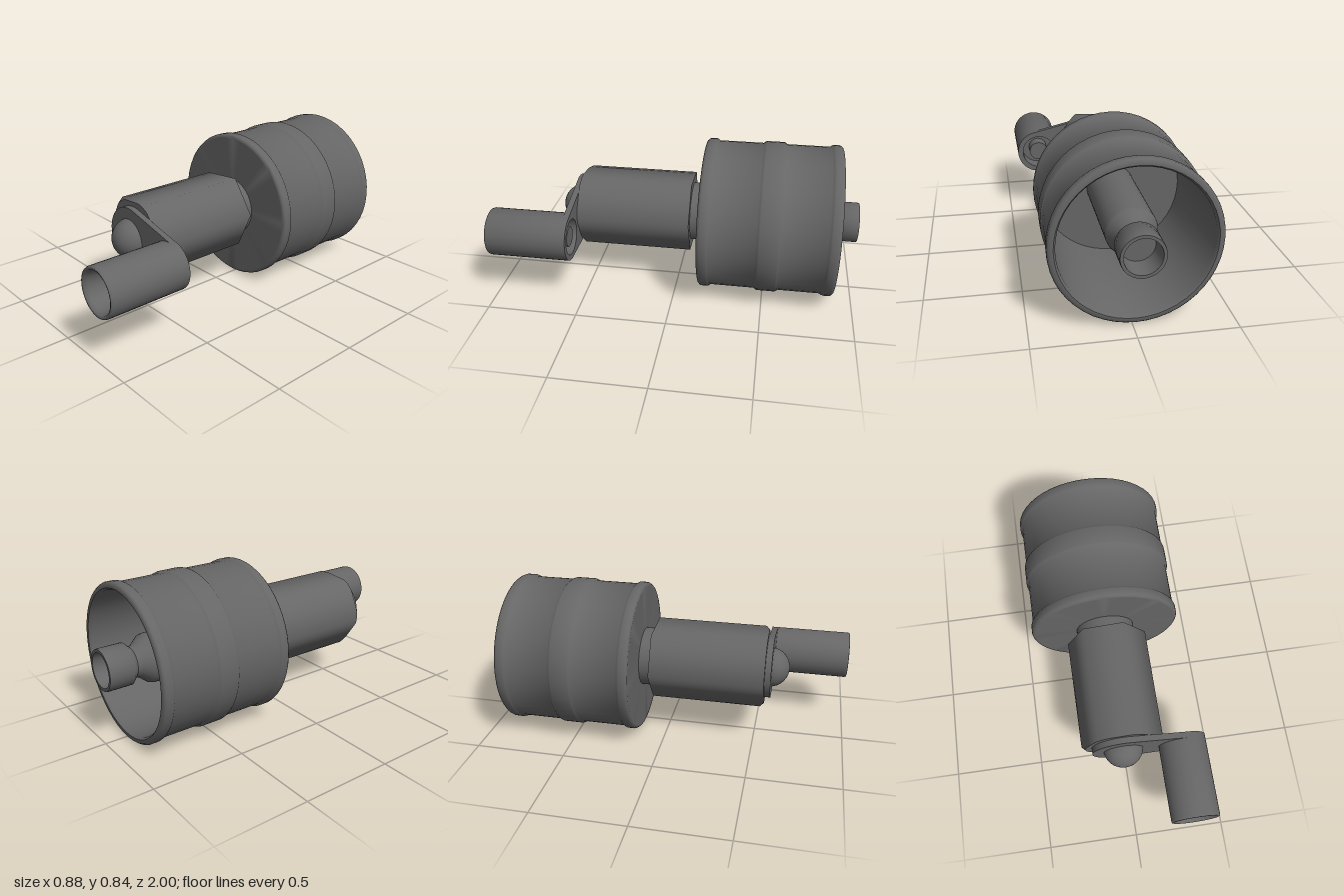
import * as THREE from 'three';
import { toCreasedNormals } from 'three/addons/utils/BufferGeometryUtils.js';

const AXIS = [-0.02, 0.424];   // main axis (x, y), running along z
const GRIP = [0.308, 0.386];   // axis of the crank grip
const HEX_R = 0.225, HEX_TURN = THREE.MathUtils.degToRad(5);

export function createModel() {
  const group = new THREE.Group();
  const material = new THREE.MeshStandardMaterial({ color: 0x666666 });

  const add = (name, geometry, [x, y] = AXIS) => {
    const mesh = new THREE.Mesh(geometry, material);
    mesh.name = name;
    mesh.position.set(x, y, 0);
    group.add(mesh);
  };

  // Turned part: profile of [radius, z], outside running from back to front
  const turned = (profile, sides = 40) => {
    const g = new THREE.LatheGeometry(profile.map(([r, z]) => new THREE.Vector2(r, z)), sides);
    return toCreasedNormals(g.rotateX(Math.PI / 2), 0.95);
  };

  // Raised band with softened edges
  const band = (z0, z1, low, high) => [
    [low, z0], [high - 0.003, z0 + 0.009], [high, z0 + 0.017],
    [high, z1 - 0.017], [high - 0.003, z1 - 0.009], [low, z1],
  ];

  // Drum, open at the back, with three raised bands
  add('drum', turned([
    [0, -0.19], [0.38, -0.19], [0.38, -0.87], [0.39, -0.885],
    ...band(-0.885, -0.82, 0.41, 0.421),
    ...band(-0.585, -0.455, 0.41, 0.421),
    ...band(-0.21, -0.145, 0.41, 0.421),
    [0.4, -0.145], [0, -0.145],
  ], 48));

  // Inner shaft with a waist and a hollow tip
  add('shaft', turned([
    [0, -0.88], [0.085, -0.88], [0.092, -1], [0.108, -1], [0.11, -0.99],
    [0.11, -0.865], [0.08, -0.835], [0.085, -0.81], [0.125, -0.76], [0.13, -0.74], [0.13, -0.17],
  ]));

  // Collar between drum and hexagonal body
  add('collar', turned([[0.163, -0.16], [0.163, -0.06]]));

  add('hexBody', hexBody(-0.08, 0.55));

  // Crank arm: two round ends joined by tangents
  const dx = GRIP[0] - AXIS[0], dy = GRIP[1] - AXIS[1];
  const big = 0.17, small = 0.13;
  const lean = Math.atan2(dy, dx), spread = Math.acos((big - small) / Math.hypot(dx, dy));
  const plate = new THREE.Shape();
  plate.absarc(0, 0, big, lean + spread, lean - spread + Math.PI * 2, false);
  plate.absarc(dx, dy, small, lean - spread, lean + spread, false);
  plate.closePath();
  const hole = new THREE.Path();
  hole.absarc(dx, dy, 0.1, 0, Math.PI * 2, true);
  plate.holes.push(hole);
  const arm = new THREE.ExtrudeGeometry(plate, { depth: 0.033, bevelEnabled: false, curveSegments: 32 });
  add('crankArm', toCreasedNormals(arm.translate(0, 0, 0.55), 0.6));

  // Domed pivot on the arm
  add('pivotDome', new THREE.SphereGeometry(0.11, 32, 20).translate(0, 0, 0.566));

  // Grip: tube with a funnel in front and a pin in the recess behind
  add('grip', turned([
    [0, 0.56], [0.056, 0.56], [0.056, 0.65], [0.1, 0.65], [0.1, 0.55], [0.131, 0.55],
    [0.131, 0.99], [0.128, 0.998], [0.122, 1], [0.113, 0.996], [0.106, 0.975],
    [0.1, 0.93], [0.09, 0.82], [0.056, 0.7], [0, 0.7],
  ]), GRIP);

  return group;
}

// Hexagonal bar with softly shaded sides, front corners trimmed by a cone
function hexBody(back, front) {
  const steps = 72, pos = [], index = [];
  const sector = Math.PI / 3, trim = 0.205;
  for (let i = 0; i < steps; i++) {
    const a = (i / steps) * Math.PI * 2;
    const r = HEX_R * Math.cos(sector / 2) / Math.cos((a % sector) - sector / 2);
    const c = Math.cos(a + HEX_TURN), s = Math.sin(a + HEX_TURN);
    const rf = Math.min(r, trim);
    pos.push(c * r, s * r, back, c * r, s * r, front - (r - rf), c * rf, s * rf, front);
  }
  const backMid = steps * 3, frontMid = backMid + 1;
  pos.push(0, 0, back, 0, 0, front);
  for (let i = 0; i < steps; i++) {
    const p = i * 3, q = ((i + 1) % steps) * 3;
    for (let k = 0; k < 2; k++) index.push(p + k, q + k, q + k + 1, p + k, q + k + 1, p + k + 1);
    index.push(backMid, q, p, frontMid, p + 2, q + 2);
  }
  const g = new THREE.BufferGeometry();
  g.setAttribute('position', new THREE.Float32BufferAttribute(pos, 3));
  g.setIndex(index);
  const body = toCreasedNormals(g, 0.4);
  // Side normals point straight out from the axis; the end caps stay flat
  const { position, normal } = body.attributes;
  for (let i = 0; i < normal.count; i++) {
    if (Math.abs(normal.getZ(i)) > 0.9) continue;
    const x = position.getX(i), y = position.getY(i), r = Math.hypot(x, y);
    normal.setXYZ(i, x / r, y / r, 0);
  }
  return body;
}
